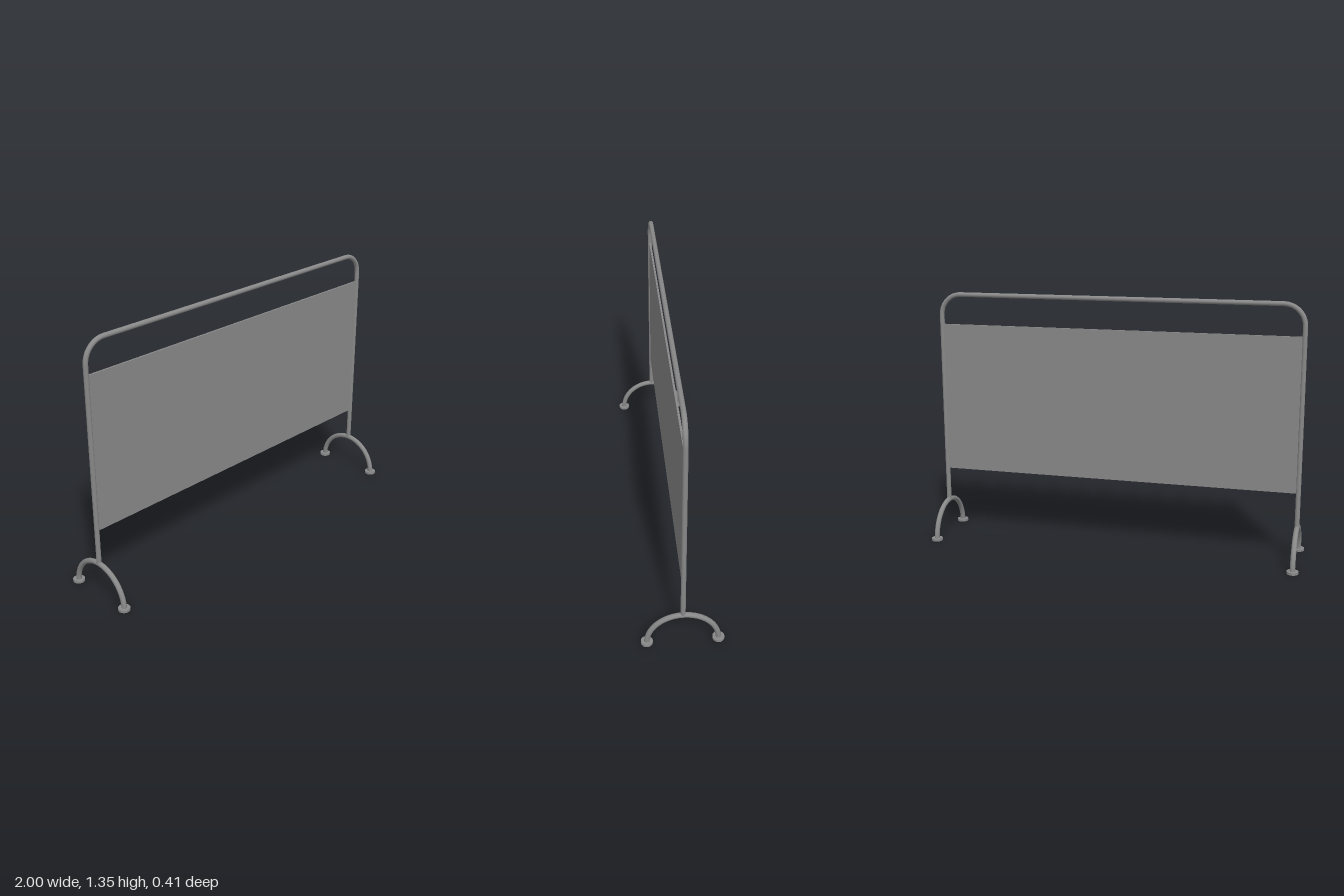
import * as THREE from 'three';

const POST_X = 0.97, TOP_Y = 1.336, BEND = 0.11, TUBE_R = 0.0125;
const ARCH_R = 0.177, ARCH_Y = 0.005;

export function createModel() {
  const model = new THREE.Group();
  const material = new THREE.MeshStandardMaterial({ color: 0x888888 });
  const add = (name, geometry, x = 0, y = 0, z = 0) => {
    const mesh = new THREE.Mesh(geometry, material);
    mesh.name = name;
    mesh.position.set(x, y, z);
    model.add(mesh);
    return mesh;
  };

  // Frame: two posts and a top rail joined by rounded corners, as one swept tube
  const points = [new THREE.Vector3(-POST_X, 0.185, 0)];
  const corner = (cx, from) => {
    for (let i = 0; i <= 12; i++) {
      const a = from - (i / 12) * Math.PI / 2;
      points.push(new THREE.Vector3(cx + BEND * Math.cos(a), TOP_Y - BEND + BEND * Math.sin(a), 0));
    }
  };
  corner(-POST_X + BEND, Math.PI);
  corner(POST_X - BEND, Math.PI / 2);
  points.push(new THREE.Vector3(POST_X, 0.185, 0));
  const path = new THREE.CurvePath();
  for (let i = 1; i < points.length; i++) path.add(new THREE.LineCurve3(points[i - 1], points[i]));
  add('frame', new THREE.TubeGeometry(path, 400, TUBE_R, 16));

  // Panel hung between the posts
  add('panel', new THREE.BoxGeometry(1.93, 0.807, 0.01), 0, 0.7715, 0);

  for (const side of [-1, 1]) {
    const label = side > 0 ? 'left' : 'right';

    // Arched leg spanning front to back
    const arch = add(label + 'Leg', new THREE.TorusGeometry(ARCH_R, 0.0135, 16, 40, Math.PI), side * POST_X, ARCH_Y, 0);
    arch.rotation.y = Math.PI / 2;

    // Round foot pads
    for (const end of [-1, 1]) {
      add(label + (end > 0 ? 'Front' : 'Back') + 'Foot',
        new THREE.CylinderGeometry(0.03, 0.03, 0.013, 24), side * POST_X, 0.0065, end * ARCH_R);
    }
  }
  return model;
}
